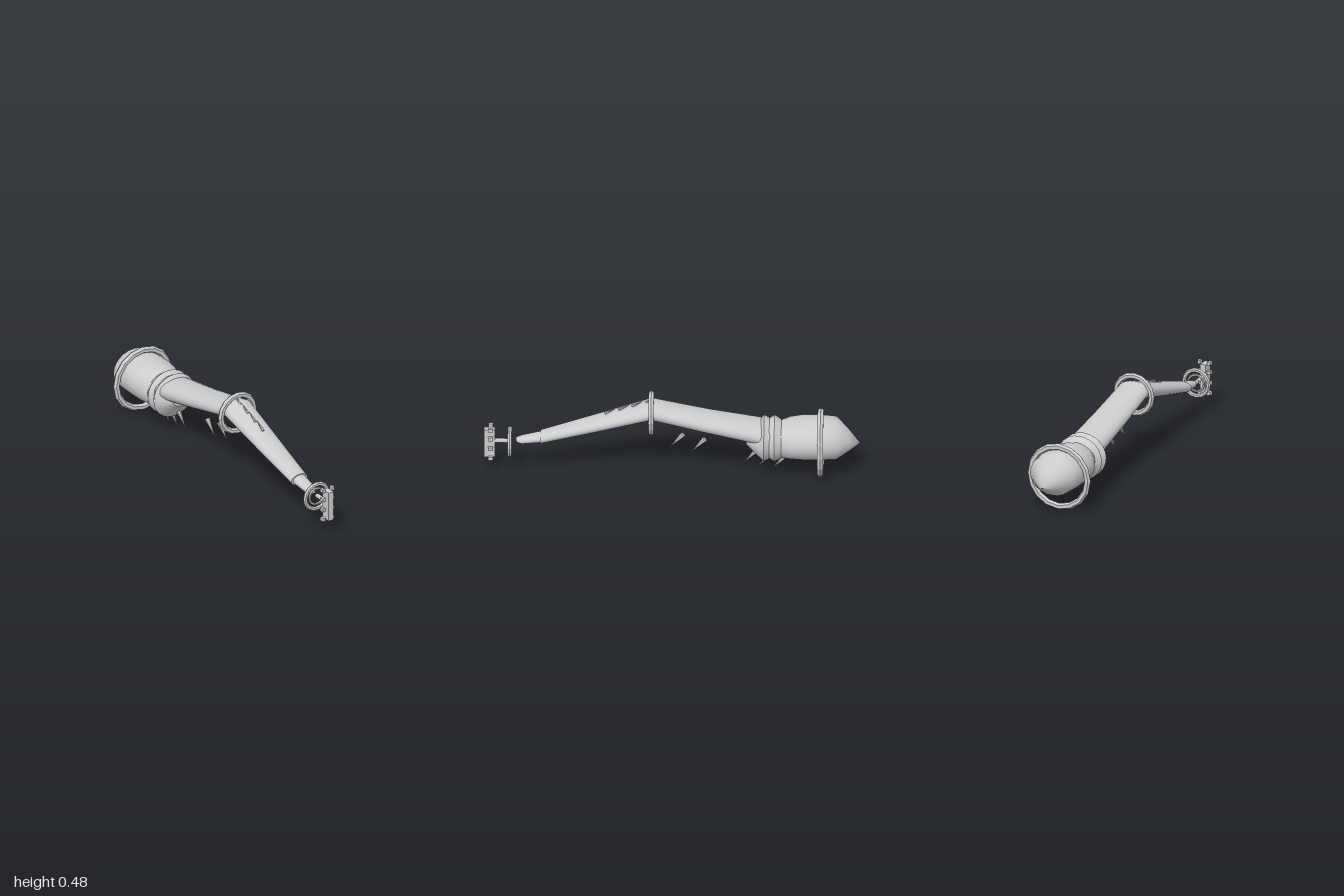
import * as THREE from 'three';
import { toCreasedNormals } from 'three/addons/utils/BufferGeometryUtils.js';

export function createModel() {
  const group = new THREE.Group();
  const grey = new THREE.MeshStandardMaterial({ color: 0xcccccc });
  grey.name = 'pale grey';

  const add = (name, geometry, x = 0, y = 0, z = 0) => {
    const mesh = new THREE.Mesh(geometry, grey);
    mesh.name = name;
    mesh.position.set(x, y, z);
    group.add(mesh);
    return mesh;
  };

  // Skin elliptical sections [z, centreY, radiusX, radiusY], listed front to back
  const loft = (name, sections, crease = 0.6, sides = 24) => {
    const first = sections[0], last = sections[sections.length - 1];
    const rows = [[first[0], first[1], 0.0005, 0.0005], ...sections, [last[0], last[1], 0.0005, 0.0005]];
    const points = [], index = [];
    for (const [z, cy, rx, ry] of rows) {
      for (let j = 0; j < sides; j++) {
        const a = (j / sides) * Math.PI * 2;
        points.push(rx * Math.cos(a), cy + ry * Math.sin(a), z);
      }
    }
    for (let i = 0; i < rows.length - 1; i++) {
      for (let j = 0; j < sides; j++) {
        const k = (j + 1) % sides;
        const a = i * sides + j, b = i * sides + k, c = a + sides, d = b + sides;
        index.push(a, c, b, b, c, d);
      }
    }
    const g = new THREE.BufferGeometry();
    g.setAttribute('position', new THREE.Float32BufferAttribute(points, 3));
    g.setIndex(index);
    return add(name, toCreasedNormals(g, crease));
  };

  // Faceted ring facing along z
  const ring = (name, y, z, radius, tube) =>
    add(name, toCreasedNormals(new THREE.TorusGeometry(radius, tube, 6, 16), 0.3), 0, y, z);

  // Cone running from base [z, y] to tip [z, y] in the centre plane
  const spike = (name, base, tip, radius) => {
    const from = new THREE.Vector3(0, base[1], base[0]);
    const to = new THREE.Vector3(0, tip[1], tip[0]);
    const dir = to.clone().sub(from);
    const g = toCreasedNormals(new THREE.ConeGeometry(radius, dir.length(), 6), 0.3);
    const mid = from.clone().add(to).multiplyScalar(0.5);
    const mesh = add(name, g, mid.x, mid.y, mid.z);
    mesh.quaternion.setFromUnitVectors(new THREE.Vector3(0, 1, 0), dir.normalize());
  };

  // Arm, from the nozzle at the front to the bulb at the back
  loft('nozzle', [
    [0.83, 0.187, 0.016, 0.012], [0.8, 0.188, 0.033, 0.021], [0.69, 0.207, 0.042, 0.028],
  ]);
  loft('forearm', [
    [0.7, 0.206, 0.052, 0.031], [0.4, 0.294, 0.071, 0.041], [0.11, 0.382, 0.088, 0.05],
  ]);
  loft('upperArm', [
    [0.11, 0.382, 0.088, 0.05], [-0.2, 0.311, 0.097, 0.054], [-0.58, 0.235, 0.108, 0.066],
  ]);
  loft('bellows', [
    [-0.395, 0.23, 0.07, 0.04], [-0.46, 0.211, 0.106, 0.095], [-0.49, 0.213, 0.132, 0.124],
    [-0.518, 0.213, 0.113, 0.108], [-0.545, 0.213, 0.132, 0.124], [-0.585, 0.21, 0.108, 0.1],
  ], 0.4);
  loft('bulb', [
    [-0.575, 0.21, 0.108, 0.1], [-0.63, 0.217, 0.133, 0.108], [-0.7, 0.221, 0.145, 0.114],
    [-0.8, 0.221, 0.142, 0.114], [-0.875, 0.219, 0.13, 0.111], [-0.94, 0.206, 0.066, 0.058],
    [-1, 0.191, 0.001, 0.001],
  ], 0.9);

  // Rings around the arm
  ring('bulbRing', 0.188, -0.79, 0.168, 0.018);
  ring('elbowRing', 0.357, 0.11, 0.105, 0.016);
  ring('frontRing', 0.174, 0.862, 0.072, 0.012);
  ring('frontInnerRing', 0.174, 0.862, 0.046, 0.007);

  // Small barbs along the top of the forearm
  for (const z of [0.355, 0.283, 0.212, 0.14]) {
    const y = 0.35 + 0.31 * (0.36 - z);
    spike('topBarb', [z, y], [z - 0.06, y + 0.036], 0.009);
  }

  // Larger spikes hanging below the arm
  const hanging = [[-0.06, 0.23], [-0.175, 0.203], [-0.455, 0.143], [-0.53, 0.122], [-0.608, 0.112]];
  for (const [z, y] of hanging) spike('lowerSpike', [z, y], [z + 0.072, y - 0.078], 0.015);

  // Handle at the front: rod, upright bar and floating studs
  const rod = new THREE.CylinderGeometry(0.012, 0.012, 0.08, 12).rotateX(Math.PI / 2);
  add('handleRod', toCreasedNormals(rod, 0.6), 0, 0.18, 0.905);
  add('handleBar', new THREE.BoxGeometry(0.032, 0.165, 0.06), 0, 0.17, 0.97);
  for (const x of [-0.0295, 0.0295]) {
    for (const y of [0.258, 0.205, 0.145, 0.088]) {
      add('handleStud', new THREE.BoxGeometry(0.017, 0.019, 0.026), x, y, 0.964);
    }
  }

  return group;
}
